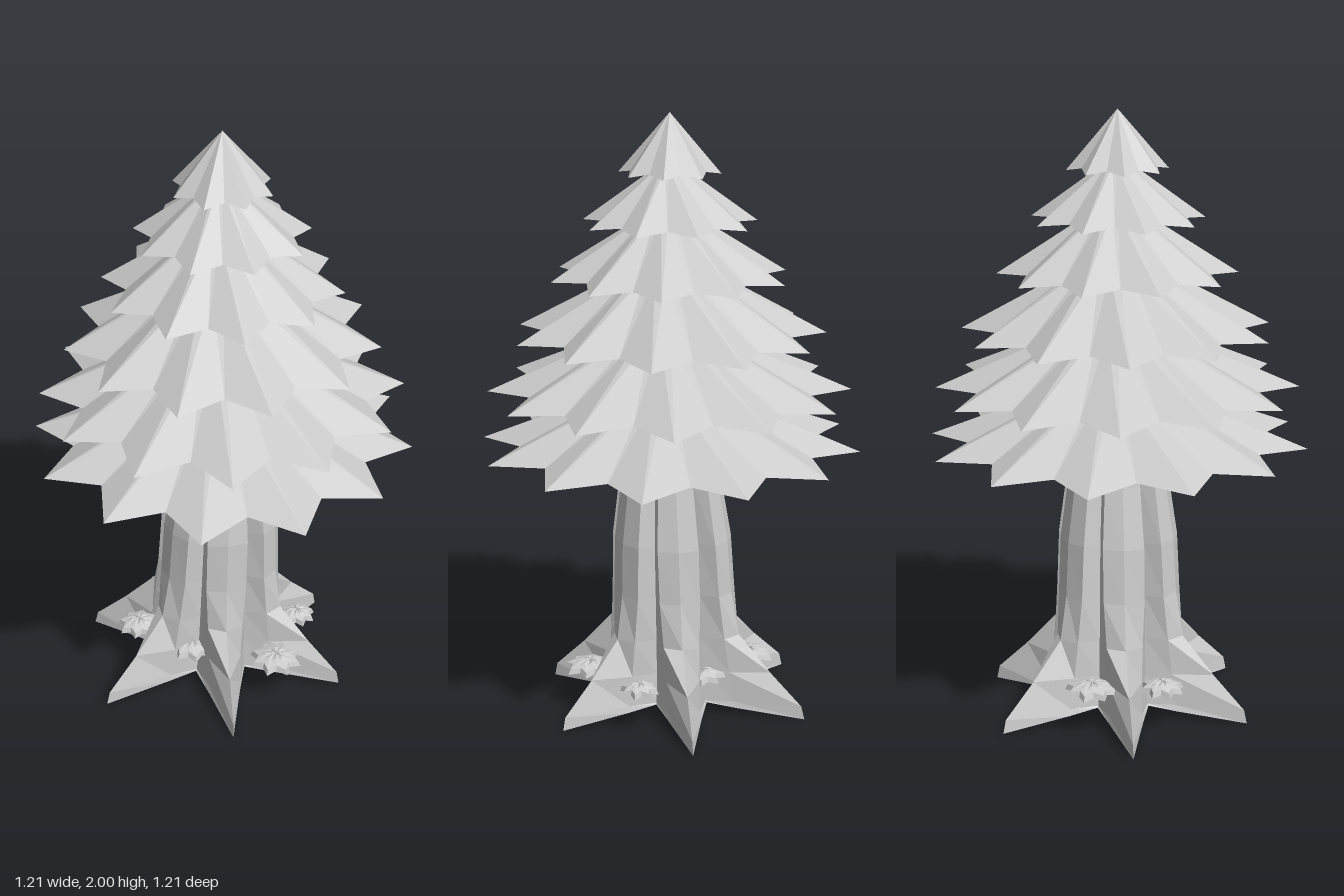
import * as THREE from 'three';

const lightGrey = new THREE.MeshStandardMaterial({ color: 0xcccccc });
const black = new THREE.MeshStandardMaterial({ color: 0x0a0a0a });

// Flat-faced skin over matching loops of points, listed from the bottom up.
function loft(name, loops, material) {
  const pos = [];
  const tri = (...pts) => pts.forEach((p) => pos.push(...p));
  for (let k = 0; k < loops.length - 1; k++) {
    const a = loops[k], b = loops[k + 1];
    for (let i = 0; i < a.length; i++) {
      const j = (i + 1) % a.length;
      tri(a[i], b[i], b[j]);
      tri(a[i], b[j], a[j]);
    }
  }
  const geometry = new THREE.BufferGeometry();
  geometry.setAttribute('position', new THREE.Float32BufferAttribute(pos, 3));
  geometry.computeVertexNormals();
  const mesh = new THREE.Mesh(geometry, material);
  mesh.name = name;
  return mesh;
}

const rad = THREE.MathUtils.degToRad;
const polar = (deg, r, y, cx = 0, cz = 0) => [cx + r * Math.cos(rad(deg)), y, cz + r * Math.sin(rad(deg))];

// Loop that alternates between tips and notches.
function starLoop(n, phase, rTip, rNotch, yTip, yNotch, cx, cz) {
  return Array.from({ length: 2 * n }, (_, i) => {
    const deg = phase + (i * 180) / n;
    return i % 2 ? polar(deg, rNotch, yNotch, cx, cz) : polar(deg, rTip, yTip, cx, cz);
  });
}

// Foliage tiers: tips, phase, tip radius, tip height, shoulder radius, shoulder height
const TIERS = [
  [12, 16, 0.625, 0.91, 0.12, 1.11],
  [12, 7, 0.595, 1.095, 0.13, 1.30],
  [11, 20, 0.51, 1.285, 0.12, 1.50],
  [10, -84, 0.39, 1.475, 0.07, 1.68],
  [9, -30, 0.285, 1.65, 0.04, 1.83],
  [8, 0, 0.165, 1.81, 0.001, 2.0],
];

function foliageTier([n, phase, r, y, rTop, yTop]) {
  const cx = 0.01, cz = -0.01;
  const ring = (radius, h) => starLoop(n, phase, radius, radius, h, h, cx, cz);
  return loft('foliageTier', [
    ring(0.001, y + 0.08),
    ring(0.15 * r, y + 0.08),
    starLoop(n, phase, r, r * 0.79, y, y + 0.012, cx, cz),
    ring(rTop, yTop),
    ring(0.001, yTop + 0.001),
  ], lightGrey);
}

// Trunk sections: height, ridge radius, edge radius, edge half angle, groove radius
const TRUNK = [
  [0.0, 0.465, 0.25, 13, 0.17],
  [0.045, 0.455, 0.24, 13, 0.165],
  [0.15, 0.345, 0.225, 14, 0.155],
  [0.27, 0.235, 0.215, 16, 0.15],
  [0.42, 0.21, 0.205, 19, 0.145],
  [0.6, 0.2, 0.197, 20, 0.14],
  [0.8, 0.17, 0.168, 20, 0.125],
  [0.95, 0.15, 0.147, 20, 0.115],
  [1.3, 0.14, 0.137, 20, 0.11],
  [1.5, 0.11, 0.108, 20, 0.09],
  [1.8, 0.03, 0.03, 20, 0.025],
];

// Fluted trunk whose six lobes spread into buttress roots
function trunk() {
  const loops = TRUNK.map(([y, ridge, edge, half, groove], k) => {
    const cx = -0.02 + 0.035 * Math.min(y, 0.85), cz = -0.01;
    const lift = k === 0 ? 0.04 : 0;
    const loop = [];
    for (let i = 0; i < 6; i++) {
      const deg = 2 + i * 60;
      loop.push(
        polar(deg - 30, groove, y + lift, cx, cz),
        polar(deg - half, edge, y + lift * 0.6, cx, cz),
        polar(deg, ridge, y, cx, cz),
        polar(deg + half, edge, y + lift * 0.6, cx, cz),
      );
    }
    return loop;
  });
  const base = loops[0].map(() => [-0.02, 0.05, -0.01]);
  return loft('trunk', [base, ...loops], lightGrey);
}

// Shelf fungi between the roots: x, z, radius
const FUNGI = [
  [0.25, 0.12, 0.09], [-0.04, 0.15, 0.085], [-0.26, 0.1, 0.075],
  [0.24, -0.14, 0.065], [-0.24, -0.13, 0.09], [0, -0.17, 0.08],
];

function fungus([x, z, r], index) {
  const group = new THREE.Group();
  group.name = 'shelfFungus';
  const star = (scale, y) => starLoop(8, index * 17, r * scale, r * scale * 0.72, y, y + 0.006, x, z);
  const rim = star(1, 0.132);
  group.add(
    loft('fungusCap', [rim, star(0.9, 0.15), star(0.45, 0.16), star(0.01, 0.162)], lightGrey),
    loft('fungusUnderside', [star(0.01, 0.136), rim], black),
  );
  return group;
}

export function createModel() {
  const model = new THREE.Group();
  model.name = 'tree';
  model.add(trunk());
  TIERS.forEach((tier) => model.add(foliageTier(tier)));
  FUNGI.forEach((f, i) => model.add(fungus(f, i)));
  return model;
}
